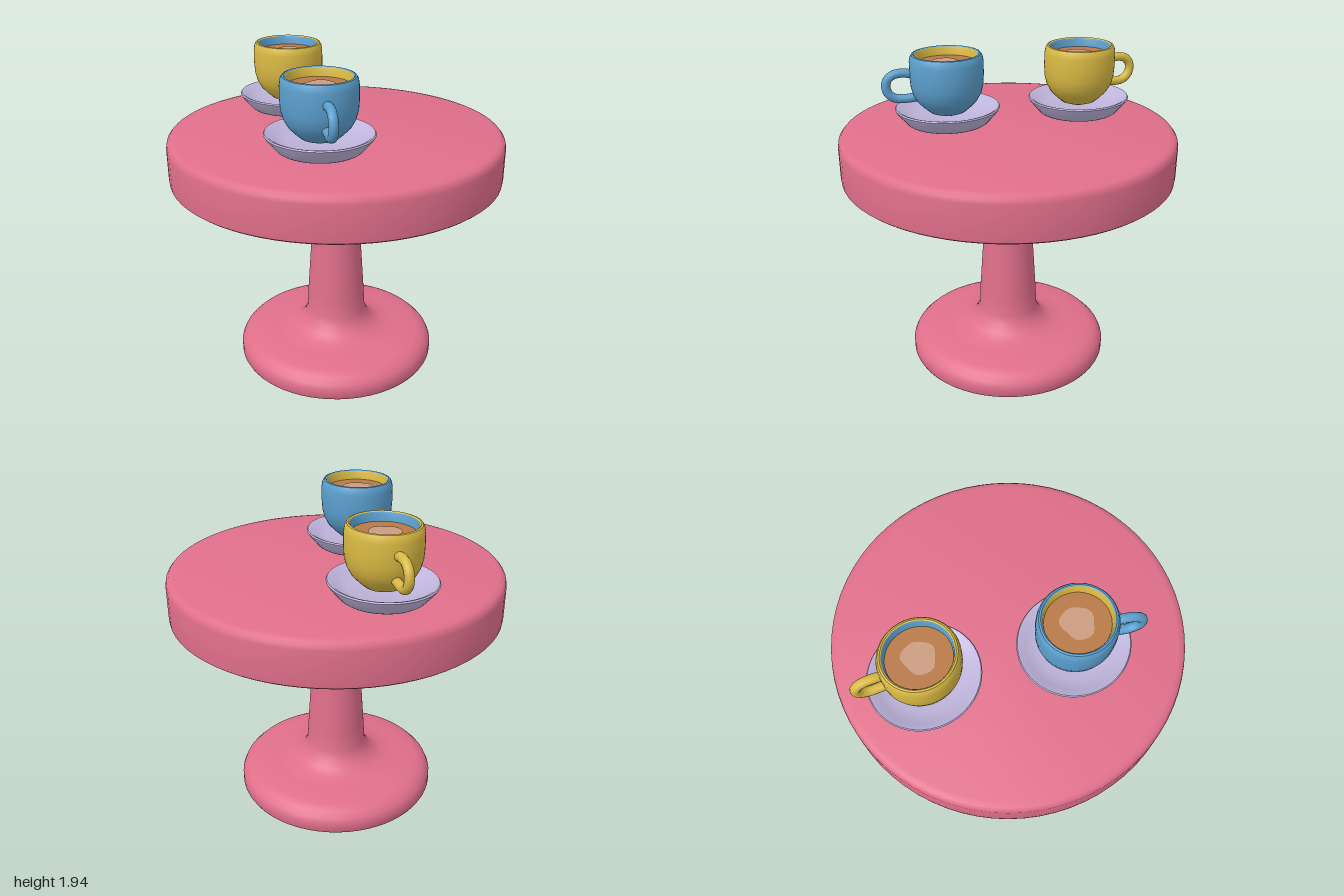
import * as THREE from 'three';
import { toCreasedNormals } from 'three/addons/utils/BufferGeometryUtils.js';

const paint = (name, color) => {
  const m = new THREE.MeshStandardMaterial({ color });
  m.name = name;
  return m;
};

// Turned part from [radius, height] pairs, listed from the underside outwards and up
function turned(name, profile, material, segments = 48) {
  const points = profile.map(([r, y]) => new THREE.Vector2(r, y));
  const geometry = toCreasedNormals(new THREE.LatheGeometry(points, segments), 0.7);
  const mesh = new THREE.Mesh(geometry, material);
  mesh.name = name;
  return mesh;
}

export function createModel() {
  const pink = paint('pink', 0xe06f8a);
  const lilac = paint('lilac', 0xbfb5dc);
  const yellow = paint('yellow', 0xd9b943);
  const blue = paint('blue', 0x5b9fce);
  const coffeeBrown = paint('coffeeBrown', 0xb87a48);
  const foamBeige = paint('foamBeige', 0xca9c80);

  const model = new THREE.Group();
  model.name = 'tableWithCups';

  // Table: thick round top on a flared pedestal
  model.add(turned('tableTop', [
    [0, 1.24], [0.985, 1.24], [0.997, 1.25], [1, 1.28], [1, 1.46],
    [0.995, 1.485], [0.98, 1.503], [0.95, 1.51], [0, 1.51],
  ], pink, 72));
  model.add(turned('pedestal', [
    [0, 0], [0.615, 0], [0.623, 0.015], [0.623, 0.07], [0.61, 0.1], [0.58, 0.13],
    [0.53, 0.15], [0.4, 0.16], [0.3, 0.175], [0.245, 0.205], [0.205, 0.25],
    [0.187, 0.3], [0.18, 0.42], [0.125, 1.245],
  ], pink, 64));

  // Cup set: saucer, cup with contrasting lining, drink, foam and handle
  function cupSet(name, x, z, outer, lining, handleAngle, depth) {
    const set = new THREE.Group();
    set.name = name;
    set.position.set(x, 0, z);

    const round = new THREE.Group();
    round.name = 'roundParts';
    round.scale.z = depth;
    set.add(round);

    round.add(turned('saucer', [
      [0, 1.522], [0.24, 1.522], [0.252, 1.53], [0.308, 1.595], [0.318, 1.612],
      [0.312, 1.62], [0.298, 1.616], [0.265, 1.592], [0.2, 1.57], [0, 1.565],
    ], lilac));
    round.add(turned('cupOutside', [
      [0, 1.57], [0.07, 1.575], [0.11, 1.59], [0.145, 1.62], [0.18, 1.655],
      [0.205, 1.7], [0.218, 1.75], [0.222, 1.81], [0.221, 1.89], [0.216, 1.918],
      [0.206, 1.935], [0.196, 1.938], [0.189, 1.932],
    ], outer));
    round.add(turned('cupLining', [
      [0.189, 1.932], [0.184, 1.92], [0.18, 1.89], [0.174, 1.86],
    ], lining));

    const drink = new THREE.Mesh(new THREE.CircleGeometry(0.182, 40), coffeeBrown);
    drink.name = 'drink';
    drink.rotation.x = -Math.PI / 2;
    drink.position.y = 1.882;
    round.add(drink);

    // Irregular foam patch
    const outline = [];
    for (let i = 0; i < 20; i++) {
      const a = (i / 20) * Math.PI * 2;
      const r = 0.091 + 0.006 * Math.sin(3 * a + 1) + 0.004 * Math.cos(5 * a);
      outline.push(new THREE.Vector2(Math.cos(a) * r * 0.95, Math.sin(a) * r * 1.08));
    }
    const foam = new THREE.Mesh(new THREE.ShapeGeometry(new THREE.Shape(outline)), foamBeige);
    foam.name = 'foam';
    foam.rotation.x = -Math.PI / 2;
    foam.position.y = 1.886;
    round.add(foam);

    // Handle loop, rooted in the cup wall
    const path = new THREE.CatmullRomCurve3([
      [0.2, 1.825], [0.26, 1.834], [0.315, 1.826], [0.352, 1.795], [0.361, 1.75],
      [0.345, 1.71], [0.305, 1.684], [0.25, 1.68], [0.18, 1.685],
    ].map(([r, y]) => new THREE.Vector3(r, y, 0)));
    const handle = new THREE.Mesh(new THREE.TubeGeometry(path, 32, 0.027, 12), outer);
    handle.name = 'handle';
    handle.rotation.y = handleAngle;
    set.add(handle);

    model.add(set);
  }

  cupSet('yellowCupSet', -0.53, -0.068, yellow, blue, Math.PI - 0.32, 0.95);
  cupSet('blueCupSet', 0.21, 0.307, blue, yellow, -0.51, 0.97);

  return model;
}
